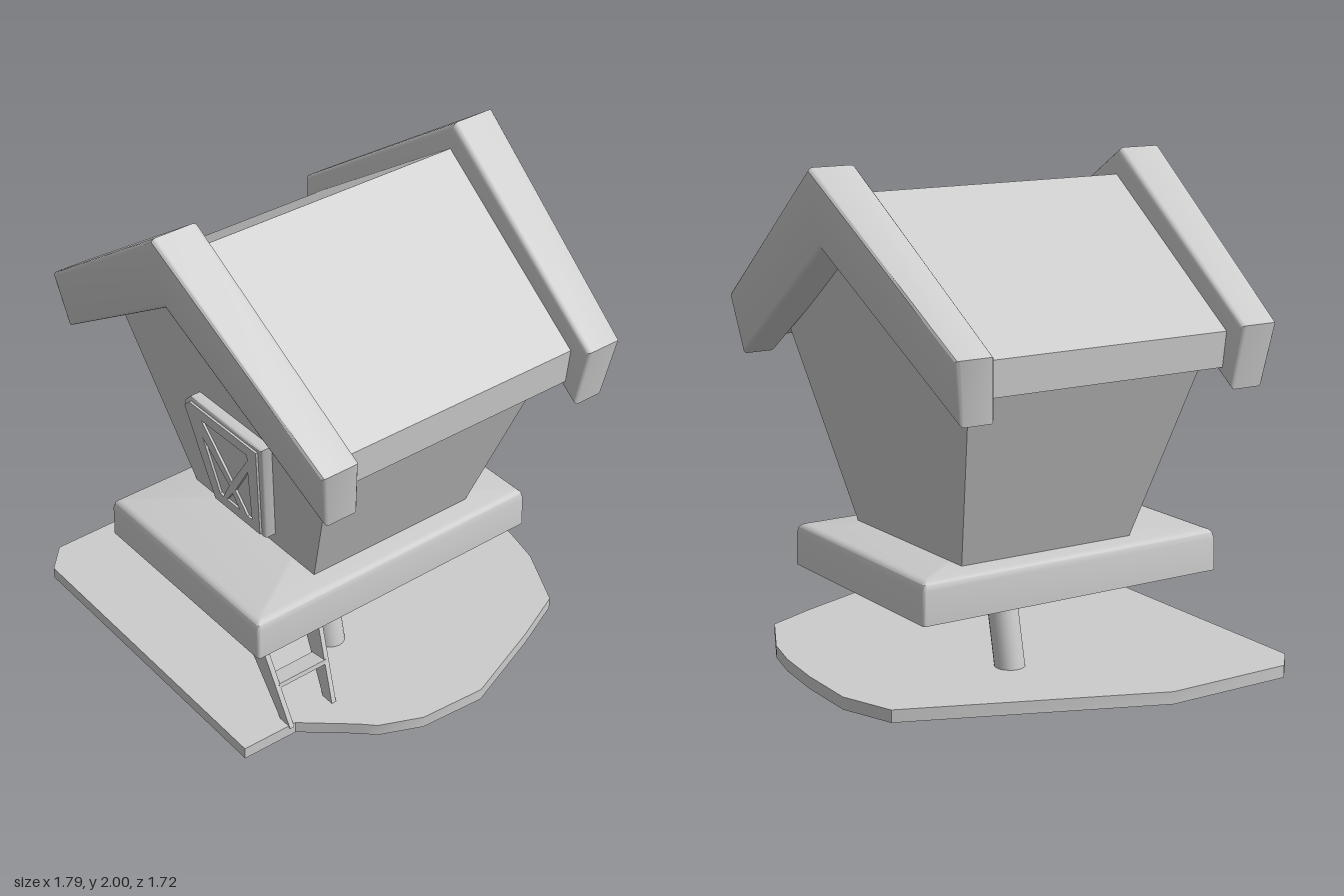
import * as THREE from 'three';
import { toCreasedNormals } from 'three/addons/utils/BufferGeometryUtils.js';

const MID = -0.015; // centre line of the house
const material = new THREE.MeshStandardMaterial({ color: 0xcccccc, side: THREE.DoubleSide });
const vectors = (pts) => pts.map(([x, y]) => new THREE.Vector2(x, y));

function add(parent, name, geometry) {
  const mesh = new THREE.Mesh(geometry, material);
  mesh.name = name;
  parent.add(mesh);
  return mesh;
}

// A plane leaning in z: z0 at height y0, z1 at height y1
const lean = (y0, z0, y1, z1) => (y) => z0 + ((z1 - z0) * (y - y0)) / (y1 - y0);

// Extrudes an x/y outline between two leaning planes; depth is the typical thickness
function slanted(points, back, front, { bevel = 0, depth = 0.2, holes = [] } = {}) {
  const shape = new THREE.Shape(vectors(points));
  holes.forEach((h) => shape.holes.push(new THREE.Path(vectors(h))));
  const geo = new THREE.ExtrudeGeometry(shape, {
    depth: depth - 2 * bevel, bevelEnabled: bevel > 0, bevelSize: bevel,
    bevelThickness: bevel, bevelOffset: -bevel, bevelSegments: 3,
  });
  const p = geo.attributes.position;
  for (let i = 0; i < p.count; i++) {
    const t = (p.getZ(i) + bevel) / depth;
    const y = p.getY(i);
    p.setZ(i, back(y) + t * (front(y) - back(y)));
  }
  return toCreasedNormals(geo, 0.6);
}

// Mirrors the right half of an outline about the centre line
const mirrored = (half) => ({
  right: half.map(([x, y]) => [MID + x, y]),
  left: half.map(([x, y]) => [MID - x, y]).reverse(),
});
function chevron(top, outer, lower, under) {
  const { right, left } = mirrored([lower, outer]);
  return [[MID, under], ...right, [MID, top], ...left];
}

// Shell open underneath: walls through stacked rings of points, closed on top
function openShell(rings) {
  const n = rings[0].length, top = (rings.length - 1) * n, centre = rings.length * n;
  const pos = [...rings.flat(2), 0, rings.at(-1)[0][1], 0];
  const idx = [];
  for (let i = 0; i < n; i++) {
    const j = (i + 1) % n;
    for (let l = 0; l < top; l += n) idx.push(l + i, l + n + i, l + j, l + j, l + n + i, l + n + j);
    idx.push(centre, top + j, top + i);
  }
  const geo = new THREE.BufferGeometry();
  geo.setAttribute('position', new THREE.Float32BufferAttribute(pos, 3));
  geo.setIndex(idx);
  return toCreasedNormals(geo, 0.6);
}

// Rounded rectangle ring of the platform, pulled in by inset
function platformRing([y, inset]) {
  const ring = [], perCorner = 4, r = 0.012;
  for (let c = 0; c < 4; c++) {
    const sx = c === 0 || c === 3 ? 1 : -1, sz = c < 2 ? 1 : -1;
    for (let k = 0; k < perCorner; k++) {
      const a = (c + k / (perCorner - 1)) * Math.PI / 2;
      ring.push([MID + sx * (0.498 - inset - r) + r * Math.cos(a), y,
        0.03 + sz * (0.681 - inset - r) + r * Math.sin(a)]);
    }
  }
  return ring;
}

export function createModel() {
  const model = new THREE.Group();
  model.name = 'birdHouse';

  // Irregular ground slab, a shallow shell; outline given as x, z
  const outline = [[-0.79, 0.85], [-0.895, 0.755], [-0.9, 0.21], [-0.49, -0.78], [-0.27, -0.86],
    [0, -0.855], [0.23, -0.83], [0.4, -0.79], [0.655, -0.665], [0.755, -0.44], [0.895, -0.07],
    [0.875, 0.21], [0.8, 0.38], [0.75, 0.43], [0.59, 0.62], [0.585, 0.86]];
  add(model, 'groundSlab', openShell([0, 0.05].map((y) => outline.map(([x, z]) => [x, y, z]))));

  // Two splayed tube legs, set diagonally and reaching through the ground
  for (const [name, side, z] of [['frontLeg', 1, 0.205], ['backLeg', -1, -0.14]]) {
    const foot = new THREE.Vector3(MID + side * 0.303, 0.014, z);
    const head = new THREE.Vector3(MID + side * 0.2, 0.48, z);
    const leg = add(model, name,
      new THREE.CylinderGeometry(0.06, 0.06, foot.distanceTo(head), 20, 1, true));
    leg.position.copy(foot).lerp(head, 0.5);
    leg.quaternion.setFromUnitVectors(new THREE.Vector3(0, 1, 0), head.clone().sub(foot).normalize());
  }

  // Platform, open underneath, with a softened top edge
  add(model, 'platform', openShell(
    [[0.35, 0], [0.48, 0.002], [0.505, 0.008], [0.515, 0.018], [0.52, 0.032]].map(platformRing)));

  // House body, widening upward on all sides
  const wallFront = lean(0.52, 0.36, 1.24, 0.49);
  const wallBack = lean(0.52, -0.42, 1.24, -0.555);
  const body = mirrored([[0.39, 0.515], [0.672, 1.28]]);
  add(model, 'houseBody', slanted([...body.right, [MID, 1.76], ...body.left], wallBack, wallFront));

  // Roof panels between the gable boards
  add(model, 'roof', slanted(chevron(1.895, [0.77, 1.378], [0.765, 1.24], 1.74),
    lean(1.2, -0.6, 1.9, -0.68), lean(1.2, 0.54, 1.9, 0.62)));

  // Thick gable boards
  const gable = chevron(2, [0.863, 1.41], [0.827, 1.165], 1.695);
  const soft = { bevel: 0.02, depth: 0.18 };
  add(model, 'frontGableBoard',
    slanted(gable, lean(1.17, 0.5, 2, 0.575), lean(1.17, 0.65, 2, 0.78), soft));
  add(model, 'backGableBoard',
    slanted(gable, lean(1.17, -0.7, 2, -0.835), lean(1.17, -0.555, 2, -0.628), soft));

  // Door: rounded slab and a thin front plate with cut-outs leaving crossed braces
  const door = new THREE.Group();
  door.name = 'door';
  model.add(door);
  const offset = (d) => (y) => wallFront(y) + d;
  const doorShape = [[-0.18, 0.585], [0.145, 0.585], [0.26, 1.117], [-0.2, 1.117], [-0.255, 1.065]];
  const plateShape = [[-0.165, 0.605], [0.132, 0.605], [0.238, 1.099], [-0.192, 1.099], [-0.235, 1.058]];
  const cutouts = [
    [[-0.13, 1.04], [0.165, 1.045], [0.162, 1.015], [0, 0.8]],
    [[0.145, 0.945], [0.015, 0.765], [0.065, 0.66], [0.095, 0.66]],
    [[-0.15, 0.94], [-0.025, 0.765], [-0.095, 0.66], [-0.115, 0.665]],
    [[-0.07, 0.66], [0.015, 0.66], [-0.015, 0.73]],
  ];
  add(door, 'doorSlab', slanted(doorShape, offset(-0.02), offset(0.052), { bevel: 0.014, depth: 0.072 }));
  add(door, 'doorPlate', slanted(plateShape, offset(0.045), offset(0.062), { holes: cutouts }));

  // Ladder: two tapering rails and a tilted rung
  const ladder = new THREE.Group();
  ladder.name = 'ladder';
  model.add(ladder);
  const rail = [[0.54, 0.04], [0.597, 0.04], [0.467, 0.37], [0.35, 0.37]];
  add(ladder, 'frontRail', slanted(rail, lean(0.05, 0.632, 0.35, 0.655), lean(0.05, 0.652, 0.35, 0.677)));
  add(ladder, 'backRail', slanted(rail, lean(0.05, 0.422, 0.35, 0.395), lean(0.05, 0.442, 0.35, 0.415)));
  const rung = add(ladder, 'rung', new THREE.BoxGeometry(0.08, 0.02, 0.23));
  rung.position.set(0.49, 0.207, 0.535);
  rung.rotation.z = 0.15;

  return model;
}
